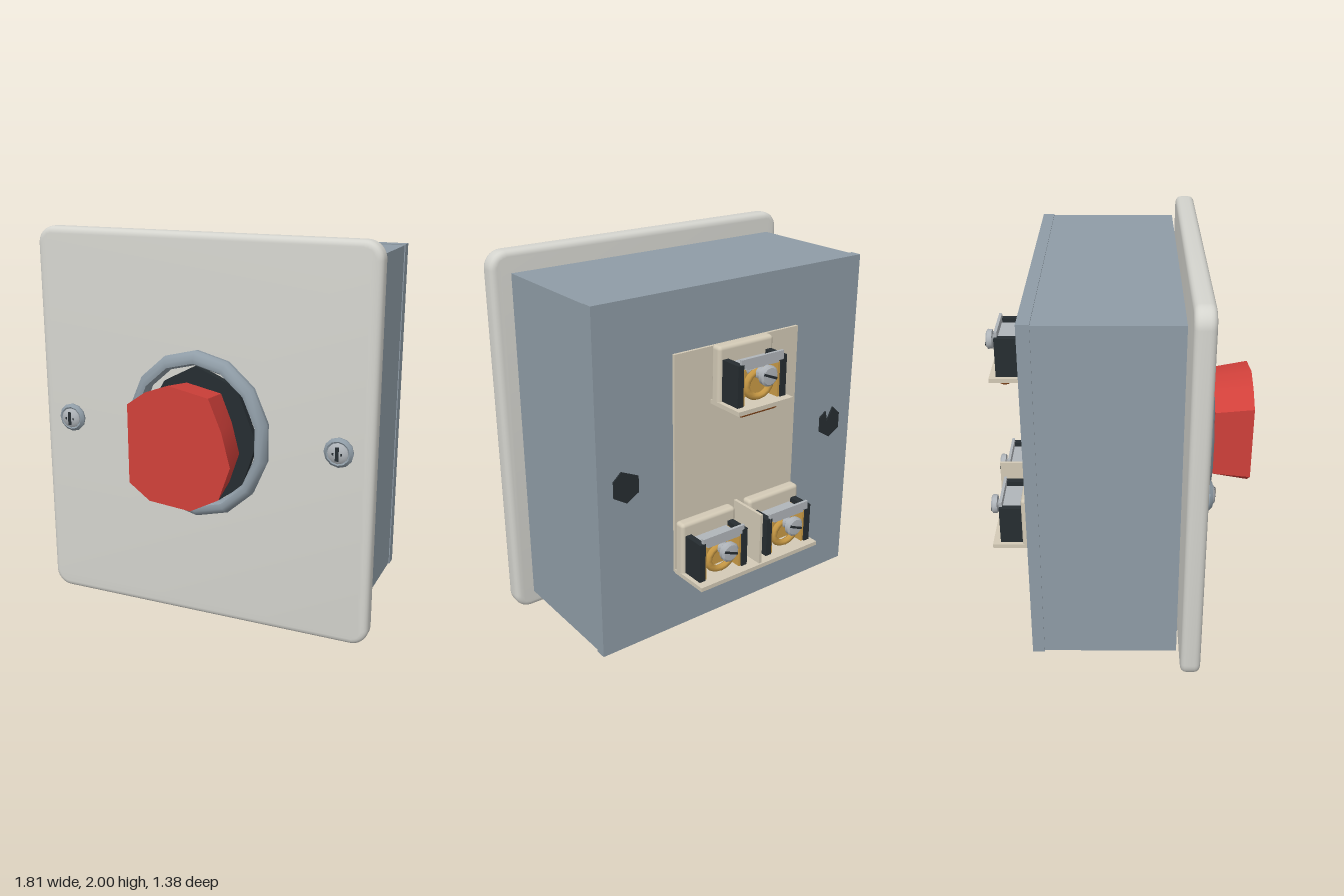
import * as THREE from 'three';
import { toCreasedNormals } from 'three/addons/utils/BufferGeometryUtils.js';
import { ConvexGeometry } from 'three/addons/geometries/ConvexGeometry.js';
import { RoundedBoxGeometry } from 'three/addons/geometries/RoundedBoxGeometry.js';

const mat = (color) => new THREE.MeshStandardMaterial({ color });
const M = {
  plate: mat(0xd4d4ce), steel: mat(0x8f9ca6), dark: mat(0x262d31), red: mat(0xd0403a),
  beige: mat(0xd3cab6), gold: mat(0xc99a45), metal: mat(0xb0b5ba), blue: mat(0x2f74b5), copper: mat(0xa65a24),
};

function add(parent, name, geometry, material, x = 0, y = 0, z = 0) {
  const mesh = new THREE.Mesh(geometry, material);
  mesh.name = name;
  mesh.position.set(x, y, z);
  parent.add(mesh);
  return mesh;
}

// Box given by its limits on each axis
function block(parent, name, material, [x0, x1], [y0, y1], [z0, z1]) {
  return add(parent, name, new THREE.BoxGeometry(x1 - x0, y1 - y0, z1 - z0), material,
    (x0 + x1) / 2, (y0 + y1) / 2, (z0 + z1) / 2);
}

// Solid of revolution whose axis points along +z
function turned(points, sides) {
  const g = new THREE.LatheGeometry(points.map(([r, h]) => new THREE.Vector2(r, h)), sides);
  return toCreasedNormals(g.rotateX(Math.PI / 2), 0.6);
}

function roundedRect(w, h, r) {
  const s = new THREE.Shape();
  s.absarc(w - r, h - r, r, 0, Math.PI / 2);
  s.absarc(-w + r, h - r, r, Math.PI / 2, Math.PI);
  s.absarc(-w + r, -h + r, r, Math.PI, Math.PI * 1.5);
  s.absarc(w - r, -h + r, r, Math.PI * 1.5, Math.PI * 2);
  s.closePath();
  return s;
}

const polygon = (points) => new THREE.Shape(points.map(([x, y]) => new THREE.Vector2(x, y)));

// Front plate with softened rim
function facePlate(parent) {
  const b = 0.03;
  const g = new THREE.ExtrudeGeometry(roundedRect(0.905 - b, 1 - b, 0.06), {
    depth: 0.1 - 2 * b, bevelSize: b, bevelThickness: b, bevelSegments: 4, curveSegments: 5,
  });
  add(parent, 'facePlate', toCreasedNormals(g, 0.7), M.plate, 0, 1, 0.315 + b);
}

// Open-fronted box with a rear cover
function housing(parent) {
  const w = 0.81, h = 0.895, t = 0.02;
  const wall = polygon([[-w, -h], [w, -h], [w, h], [-w, h]]);
  wall.holes.push(polygon([[-w + t, -h + t], [-w + t, h - t], [w - t, h - t], [w - t, -h + t]]));
  add(parent, 'housingWalls', new THREE.ExtrudeGeometry(wall, { depth: 0.675, bevelEnabled: false }),
    M.steel, 0, 1, -0.38);
  block(parent, 'rearCover', M.steel, [-0.815, 0.815], [0.1, 1.9], [-0.435, -0.375]);
  // Dark knockouts, one of them notched
  const hex = [[0.025, 0.085], [0.07, 0.045], [0.07, -0.04], [0, -0.085], [-0.07, -0.045], [-0.07, 0.04]];
  const notched = [[0.02, 0.01], [0.03, 0.07], [0.07, 0.045], [0.07, -0.04], [0, -0.085], [-0.07, -0.045],
    [-0.07, 0.04], [-0.02, 0.085]];
  for (const [x, pts] of [[0.66, hex], [-0.66, notched]]) {
    const g = new THREE.ExtrudeGeometry(polygon(pts), { depth: 0.01, bevelEnabled: false });
    add(parent, 'knockout', g, M.dark, x, 1, -0.443);
  }
}

// Faceted bezel ring, dark seat and flared push button
function pushButton(parent) {
  const ring = turned([[1, 0], [1.01, 0.03], [0.985, 0.052], [0.93, 0.07], [0.87, 0.065], [0.84, 0.04],
    [0.84, 0], [1, 0]], 14);
  const bezel = add(parent, 'bezelRing', ring, M.steel, 0, 1.005, 0.412);
  bezel.scale.set(0.385, 0.428, 1);
  const seat = polygon([[-0.33, 1.0], [-0.19, 0.7], [0.1, 0.66], [0.25, 0.77], [0.325, 1.0], [0.22, 1.27],
    [0, 1.36], [-0.17, 1.27]]);
  add(parent, 'buttonSeat', new THREE.ExtrudeGeometry(seat, { depth: 0.04, bevelEnabled: false }), M.dark, 0, 0, 0.41);
  add(parent, 'buttonStem', turned([[0.2, 0], [0.2, 0.06]], 10), M.dark, 0, 1, 0.44);

  const outline = [[-0.25, 1.2], [-0.15, 1.27], [-0.03, 1.315], [0.18, 1.275], [0.245, 1.12], [0.29, 0.95],
    [0.23, 0.78], [0.08, 0.7], [-0.14, 0.72], [-0.25, 0.8]];
  const points = [];
  for (const [x, y] of outline) {
    points.push(new THREE.Vector3(x, y, 0.69));
    points.push(new THREE.Vector3(Math.max(x * 0.87, -0.25) - (x < -0.2 ? 0.03 : 0), 1 + (y - 1) * 0.9, 0.49));
  }
  add(parent, 'buttonCap', toCreasedNormals(new ConvexGeometry(points), 0.8), M.red);
}

// Plate screw: cupped washer and slotted head
function plateScrew(parent, x) {
  const g = new THREE.Group();
  g.name = 'plateScrew';
  g.position.set(x, 1.005, 0.413);
  add(g, 'washer', turned([[0.072, 0], [0.075, 0.015], [0.06, 0.03], [0.045, 0.02]], 12), M.steel);
  add(g, 'screwHead', turned([[0.052, 0.01], [0.052, 0.03], [0.035, 0.042], [0, 0.044]], 12), M.metal);
  add(g, 'slot', new THREE.BoxGeometry(0.018, 0.07, 0.006), M.dark, 0, 0, 0.041);
  add(g, 'slot', new THREE.BoxGeometry(0.05, 0.012, 0.006), M.dark, 0, 0, 0.04);
  parent.add(g);
}

// Clamp screw pointing backwards, with a threaded shank
function clampScrew(parent) {
  const profile = [[0.018, -0.02]];
  for (let i = 0; i < 5; i++) profile.push([0.032, i * 0.022], [0.02, i * 0.022 + 0.011]);
  profile.push([0.025, 0.105], [0.05, 0.107], [0.052, 0.13], [0.042, 0.138], [0, 0.14]);
  const screw = add(parent, 'clampScrew', turned(profile, 14), M.metal, 0, 0.17, -0.548);
  screw.rotation.y = Math.PI;
  const slot = add(parent, 'clampScrewSlot', new THREE.BoxGeometry(0.085, 0.012, 0.005), M.dark, 0, 0.17, -0.687);
  slot.rotation.z = 0.4;
}

// One wiring terminal standing on its shelf
function terminal(parent, x, y, tabMaterial) {
  const g = new THREE.Group();
  g.name = 'terminal';
  g.position.set(x, y, 0);
  add(g, 'base', new RoundedBoxGeometry(0.34, 0.3, 0.065, 2, 0.02), M.beige, 0, 0.15, -0.48);
  for (const s of [-1, 1]) {
    add(g, 'cheek', new THREE.BoxGeometry(0.035, 0.21, 0.12), M.dark, s * 0.133, 0.13, -0.57);
    add(g, 'contactSide', new THREE.BoxGeometry(0.012, 0.18, 0.105), M.gold, s * 0.109, 0.115, -0.57);
  }
  block(g, 'contactBack', M.gold, [-0.115, 0.115], [0.02, 0.21], [-0.53, -0.51]);
  block(g, 'clampPlate', M.metal, [-0.13, 0.13], [0.215, 0.26], [-0.63, -0.615]);
  block(g, 'clampBridge', M.metal, [-0.1, 0.1], [0.205, 0.22], [-0.63, -0.52]);
  const loop = add(g, 'contactLoop', new THREE.TorusGeometry(0.065, 0.018, 6, 16), M.gold, 0, 0.11, -0.6);
  loop.scale.x = 1.15;
  clampScrew(g);
  add(g, 'colourTab', new RoundedBoxGeometry(0.24, 0.05, 0.06, 2, 0.02), tabMaterial, 0, -0.015, -0.59);
  parent.add(g);
}

// Rear insulating panel with one upper and two lower terminals
function terminalPanel(parent) {
  block(parent, 'insulatingPanel', M.beige, [-0.385, 0.385], [0.44, 1.6], [-0.45, -0.43]);
  block(parent, 'upperShelf', M.beige, [-0.17, 0.17], [1.31, 1.332], [-0.665, -0.45]);
  block(parent, 'lowerShelf', M.beige, [-0.385, 0.385], [0.435, 0.457], [-0.67, -0.45]);
  block(parent, 'divider', M.beige, [-0.008, 0.008], [0.44, 0.735], [-0.66, -0.45]);
  terminal(parent, 0, 1.31, M.copper);
  for (const s of [-1, 1]) terminal(parent, s * 0.215, 0.435, M.blue);
}

export function createModel() {
  const model = new THREE.Group();
  model.name = 'pushButtonBox';
  facePlate(model);
  housing(model);
  pushButton(model);
  for (const s of [-1, 1]) plateScrew(model, s * 0.735);
  terminalPanel(model);
  return model;
}
